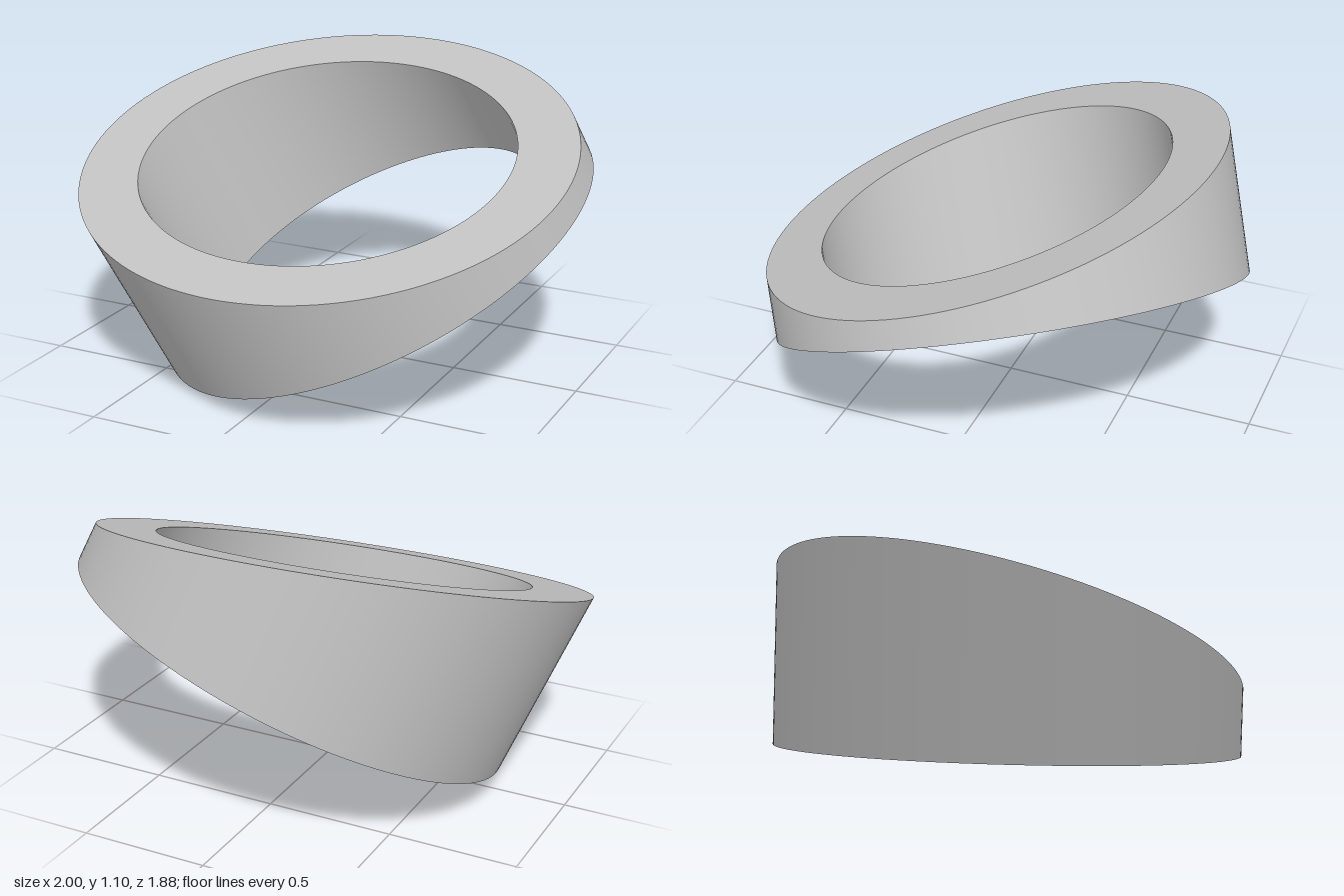
import * as THREE from 'three';
import { toCreasedNormals } from 'three/addons/utils/BufferGeometryUtils.js';

export function createModel() {
  const group = new THREE.Group();
  const gray = new THREE.MeshStandardMaterial({ color: 0xc0c0c0 });
  gray.name = 'light gray';

  const outer = 0.92, inner = 0.698, height = 0.443, slope = -0.366;

  // Round tube: a disc with a hole, extruded along its axis
  const shape = new THREE.Shape().absarc(0, 0, outer, 0, Math.PI * 2, false);
  shape.holes.push(new THREE.Path().absarc(0, 0, inner, 0, Math.PI * 2, true));
  const tube = new THREE.ExtrudeGeometry(shape, {
    depth: height, bevelEnabled: false, curveSegments: 64,
  });

  // Oblique cut: shear the upper rim so one side is tall and the other thin
  const p = tube.attributes.position;
  for (let i = 0; i < p.count; i++) {
    if (p.getZ(i) > height / 2) p.setZ(i, height + slope * p.getX(i));
  }
  tube.rotateX(-Math.PI / 2);

  const ring = new THREE.Mesh(toCreasedNormals(tube, 0.5), gray);
  ring.name = 'wedgeRing';
  // Lean sideways until the cut rim is level in x, then tip it to the front
  ring.rotation.set(0.322, 0, 0.351);
  ring.position.set(0.131, 0.419, -0.06);
  group.add(ring);
  return group;
}
